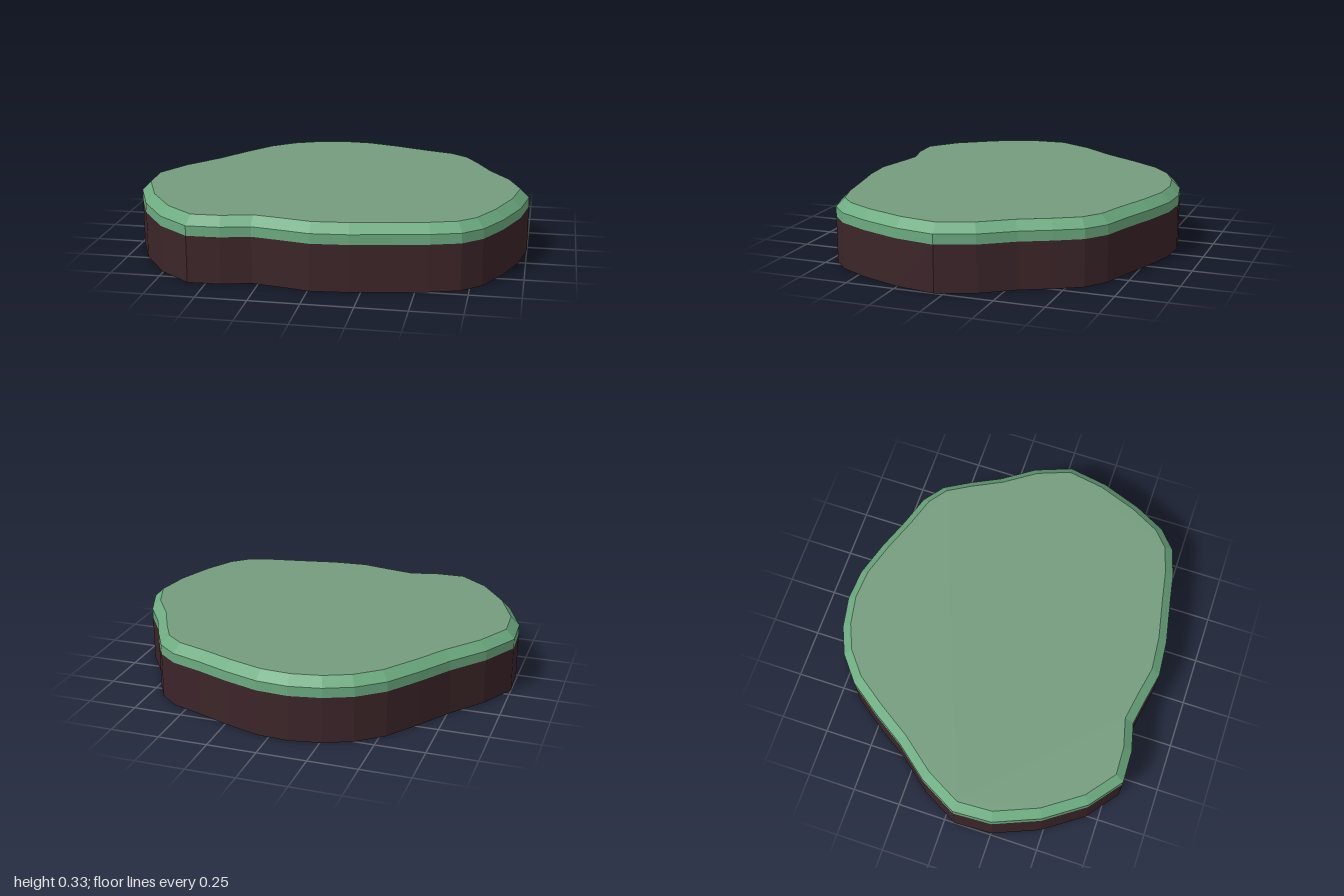
import * as THREE from 'three';

// Ground outline as [x, z], starting at the back and running clockwise seen from above
const outline = [
  [-0.10, -0.84], [0.06, -0.83], [0.24, -0.775], [0.41, -0.71], [0.565, -0.66], [0.67, -0.58],
  [0.745, -0.45], [0.82, -0.30], [0.93, -0.14], [1.0, 0.045], [0.965, 0.25], [0.89, 0.455],
  [0.805, 0.615], [0.71, 0.70], [0.565, 0.745], [0.40, 0.775], [0.195, 0.815], [0.01, 0.83],
  [-0.14, 0.80], [-0.28, 0.775], [-0.425, 0.81], [-0.59, 0.815], [-0.755, 0.685], [-0.895, 0.485],
  [-0.99, 0.255], [-1.0, 0.055], [-0.895, -0.14], [-0.755, -0.315], [-0.645, -0.485],
  [-0.53, -0.645], [-0.40, -0.75], [-0.26, -0.81],
].map(([x, z]) => new THREE.Vector2(x, z));
const count = outline.length;

// Outline moved inward by a constant distance, with mitred corners
function inset(distance) {
  const inward = (a, b) => new THREE.Vector2(a.y - b.y, b.x - a.x).normalize();
  return outline.map((p, i) => {
    const n1 = inward(outline[(i + count - 1) % count], p);
    const n2 = inward(p, outline[(i + 1) % count]);
    const scale = distance / (1 + n1.dot(n2));
    return p.clone().addScaledVector(n1.add(n2), scale);
  });
}

function material(color) {
  return new THREE.MeshStandardMaterial({ color, flatShading: true, side: THREE.DoubleSide });
}

// Strip of outward-facing quads joining rings [points, height]
function band(rings) {
  const positions = [];
  for (let r = 0; r < rings.length - 1; r++) {
    const [low, y0] = rings[r];
    const [high, y1] = rings[r + 1];
    for (let i = 0; i < count; i++) {
      const j = (i + 1) % count;
      const a = [low[j].x, y0, low[j].y], b = [low[i].x, y0, low[i].y];
      const c = [high[i].x, y1, high[i].y], d = [high[j].x, y1, high[j].y];
      positions.push(...a, ...b, ...c, ...a, ...c, ...d);
    }
  }
  const geometry = new THREE.BufferGeometry();
  geometry.setAttribute('position', new THREE.Float32BufferAttribute(positions, 3));
  geometry.computeVertexNormals();
  return geometry;
}

export function createModel() {
  const group = new THREE.Group();
  group.name = 'groundPatch';
  const add = (name, geometry, color) => {
    const mesh = new THREE.Mesh(geometry, material(color));
    mesh.name = name;
    group.add(mesh);
  };
  const topRing = inset(0.045);

  // Earth wall, open underneath
  add('earthWall', band([[outline, 0], [outline, 0.235]]), 0x3c2529);

  // Grass edge: upright strip and bevel
  add('grassEdge', band([[outline, 0.235], [outline, 0.285], [topRing, 0.33]]), 0x6cab80);

  // Flat grass top
  const top = new THREE.ShapeGeometry(new THREE.Shape(topRing.map((p) => new THREE.Vector2(p.x, -p.y))));
  top.rotateX(-Math.PI / 2).translate(0, 0.33, 0);
  add('grassTop', top, 0x749c7d);

  return group;
}
